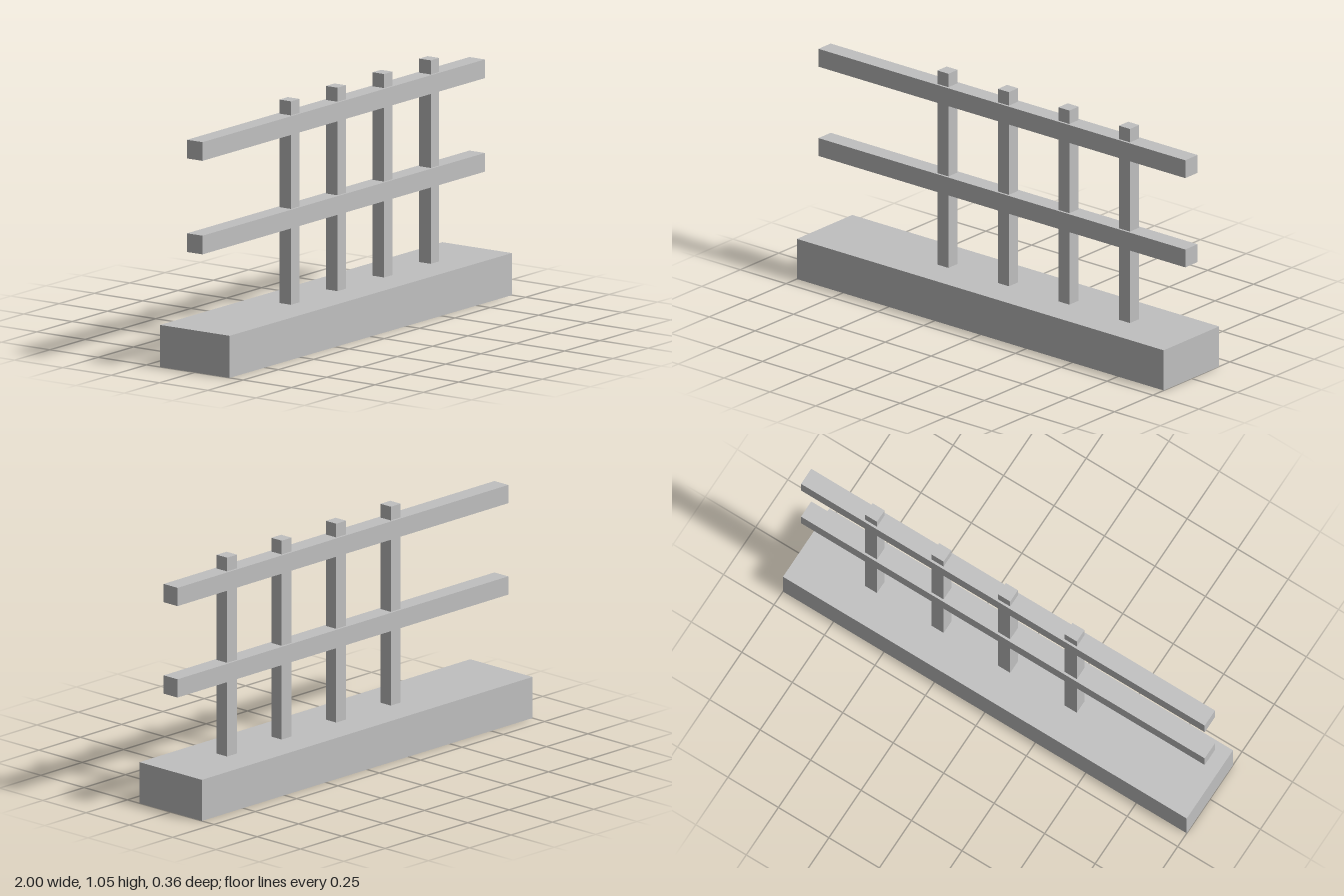
import * as THREE from 'three';

export function createModel() {
  const model = new THREE.Group();
  model.name = 'railingOnPlinth';

  const concrete = new THREE.MeshStandardMaterial({ color: 0xc0c0c0 });
  concrete.name = 'light grey';

  // Box standing on a given height, centred on z = 0
  function addBox(name, width, height, depth, x, bottom) {
    const mesh = new THREE.Mesh(new THREE.BoxGeometry(width, height, depth), concrete);
    mesh.name = name;
    mesh.position.set(x, bottom + height / 2, 0);
    model.add(mesh);
  }

  // Solid base
  addBox('base', 2, 0.18, 0.36, 0, 0);

  // Upright posts, evenly spaced but offset towards the left
  const spacing = 0.33;
  for (let i = -1; i <= 2; i++) {
    addBox(`post${i + 2}`, 0.06, 0.87, 0.06, i * spacing, 0.18);
  }

  // Horizontal rails
  addBox('lowerRail', 2, 0.08, 0.08, 0, 0.51);
  addBox('upperRail', 2, 0.08, 0.08, 0, 0.91);

  return model;
}
